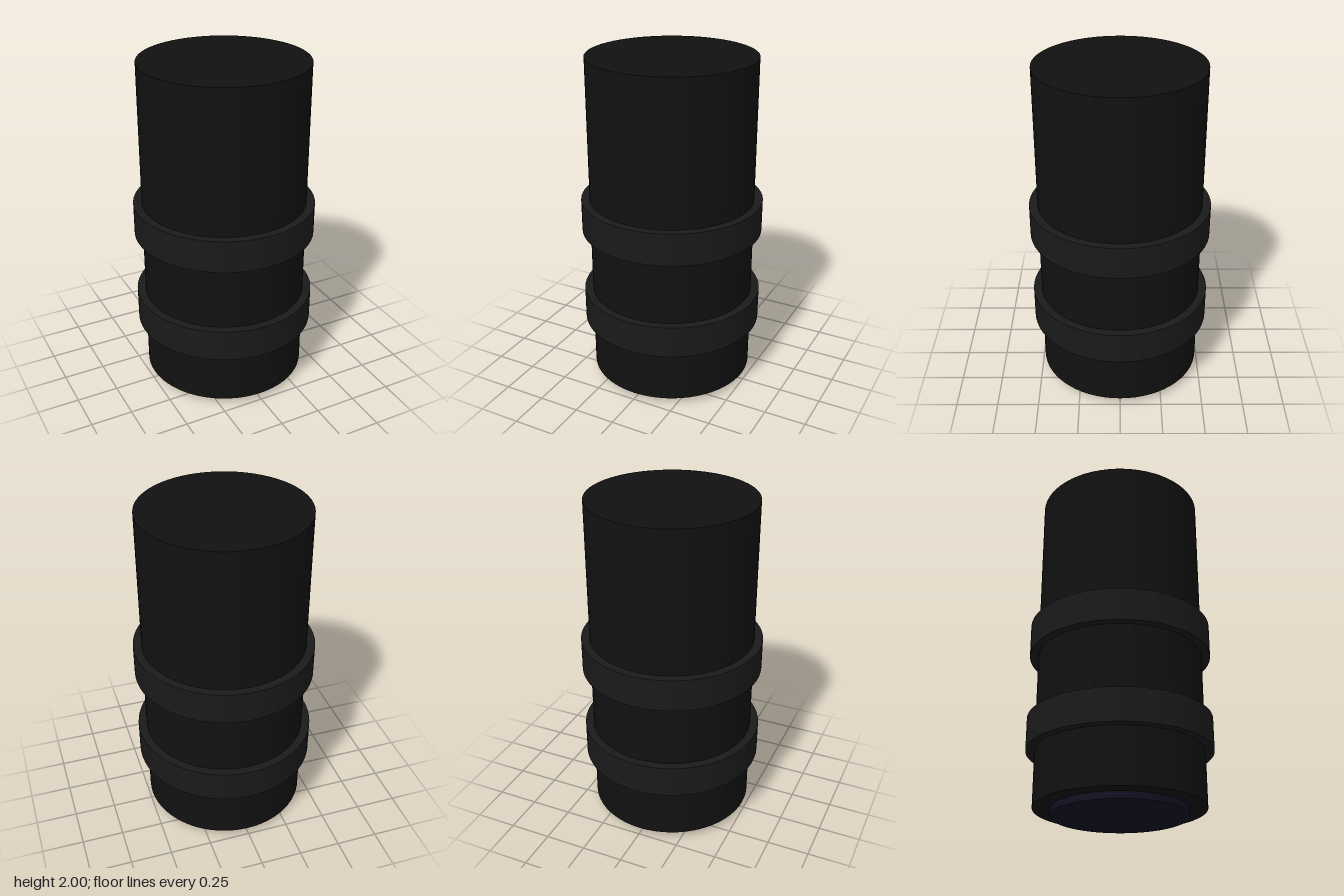
import * as THREE from 'three';

const SEGMENTS = 64;

// Upright closed cylinder spanning y0..y1
function drum(name, radius, y0, y1, color) {
  const geometry = new THREE.CylinderGeometry(radius, radius, y1 - y0, SEGMENTS);
  const mesh = new THREE.Mesh(geometry, new THREE.MeshStandardMaterial({ color }));
  mesh.name = name;
  mesh.position.y = (y0 + y1) / 2;
  return mesh;
}

export function createModel() {
  const model = new THREE.Group();
  model.name = 'barrel';

  // Main tube
  model.add(drum('body', 0.49, 0.04, 2, 0x111111));

  // Raised grip rings
  model.add(drum('lowerRing', 0.54, 0.365, 0.56, 0x1a1a1a));
  model.add(drum('upperRing', 0.54, 0.955, 1.15, 0x1a1a1a));

  // Bluish disc set into the underside
  model.add(drum('lens', 0.39, 0, 0.06, 0x111122));

  return model;
}
